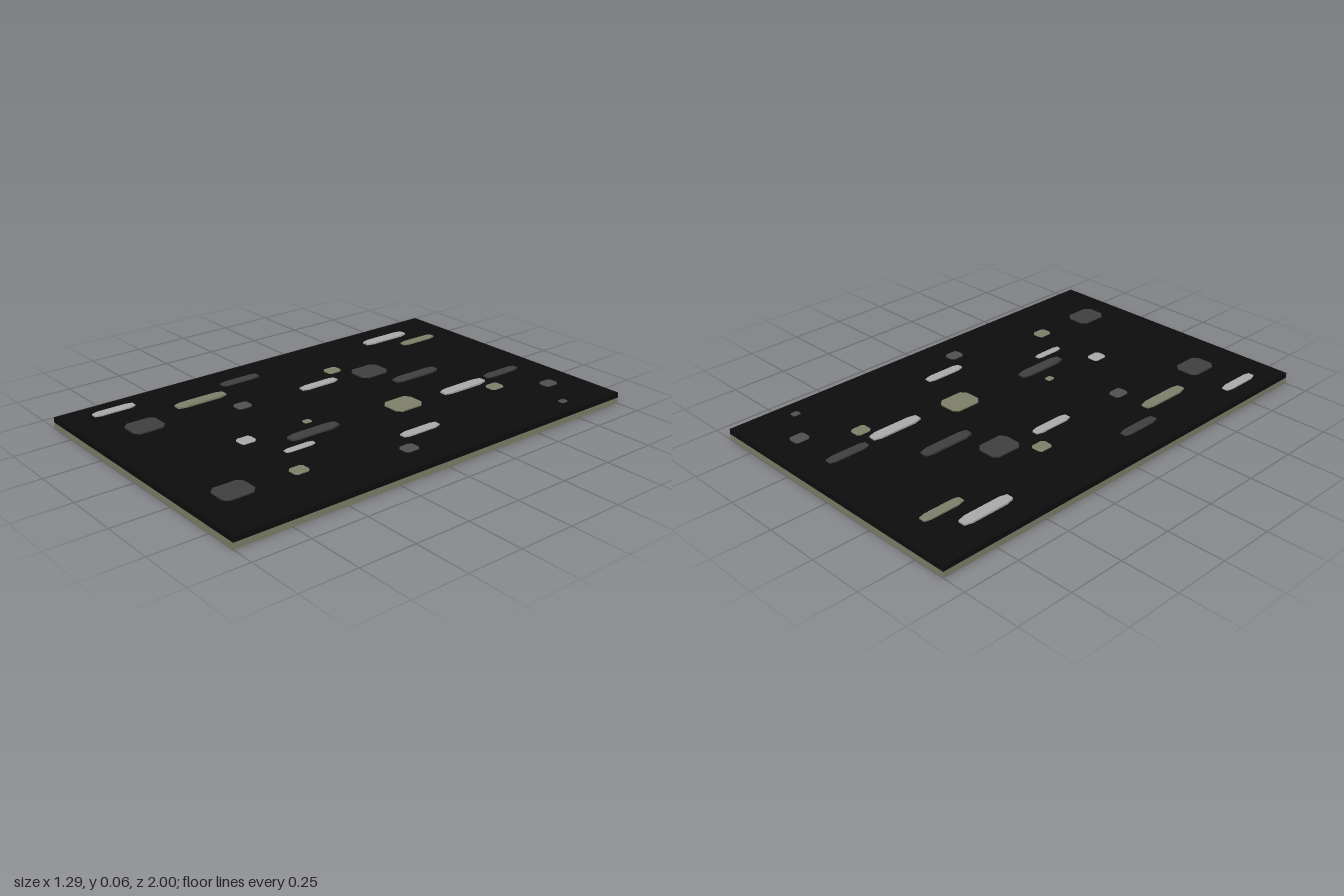
import * as THREE from 'three';

const mat = (color) => new THREE.MeshStandardMaterial({ color, flatShading: true });
const olive = mat(0x80816a), black = mat(0x0d0d0d), pale = mat(0xacacac);
const dark = mat(0x404040), grey = mat(0x505050);

const BOARD_TOP = 0.05;

// tile kinds: width (x), length (z), height above the board
const KINDS = {
  longStrip: [0.05, 0.24, 0.01],
  strip: [0.042, 0.19, 0.008],
  shortStrip: [0.031, 0.14, 0.006],
  slab: [0.115, 0.145, 0.008],
  chip: [0.058, 0.07, 0.006],
  dot: [0.031, 0.036, 0.004],
};

// tiles: kind, material, x, z
const TILES = [
  ['longStrip', pale, -0.505, -0.67], ['longStrip', pale, 0.18, -0.525],
  ['strip', pale, -0.24, -0.06], ['strip', pale, 0.4, -0.07],
  ['strip', pale, -0.55, 0.775], ['shortStrip', pale, 0.225, 0.4],
  ['chip', pale, 0.043, 0.525],
  ['strip', olive, -0.39, -0.78], ['longStrip', olive, -0.41, 0.44],
  ['slab', olive, 0.16, -0.195], ['chip', olive, 0.263, -0.635],
  ['chip', olive, -0.333, -0.21], ['chip', olive, 0.385, 0.525],
  ['dot', olive, 0.045, 0.225],
  ['strip', dark, 0.16, -0.78], ['longStrip', dark, -0.055, -0.46],
  ['strip', dark, -0.497, 0.18], ['longStrip', dark, 0.145, 0.27],
  ['slab', dark, -0.218, -0.33], ['slab', dark, -0.327, 0.76],
  ['slab', dark, 0.37, 0.81],
  ['chip', grey, 0.385, -0.845], ['chip', grey, 0.5, 0.08],
  ['chip', grey, -0.253, 0.335], ['dot', grey, 0.56, -0.74],
];

// octagonal tile with cut corners and a small bevelled rim, base at y = 0
function tileGeometry(width, length, height) {
  const bevel = 0.002;
  const x = width / 2 - bevel, z = length / 2 - bevel;
  const cx = x * 0.62, cz = z * 0.72;
  const shape = new THREE.Shape([
    [x, -cz], [x, cz], [cx, z], [-cx, z], [-x, cz], [-x, -cz], [-cx, -z], [cx, -z],
  ].map(([a, b]) => new THREE.Vector2(a, b)));
  const geometry = new THREE.ExtrudeGeometry(shape, {
    depth: height - bevel, bevelEnabled: true, bevelSize: bevel,
    bevelThickness: bevel, bevelSegments: 1,
  });
  return geometry.rotateX(-Math.PI / 2);
}

export function createModel() {
  const group = new THREE.Group();
  group.name = 'rug';

  // two-layer board
  const layer = (name, material, y0, y1) => {
    const mesh = new THREE.Mesh(new THREE.BoxGeometry(1.29, y1 - y0, 2), material);
    mesh.position.y = (y0 + y1) / 2;
    mesh.name = name;
    group.add(mesh);
  };
  layer('backing', olive, 0, 0.027);
  layer('topLayer', black, 0.027, BOARD_TOP);

  // raised tiles scattered over the top
  const geometries = {};
  for (const kind in KINDS) geometries[kind] = tileGeometry(...KINDS[kind]);
  const tiles = new THREE.Group();
  tiles.name = 'raisedTiles';
  for (const [kind, material, x, z] of TILES) {
    const mesh = new THREE.Mesh(geometries[kind], material);
    mesh.position.set(x, BOARD_TOP, z);
    mesh.name = kind;
    tiles.add(mesh);
  }
  group.add(tiles);
  return group;
}
